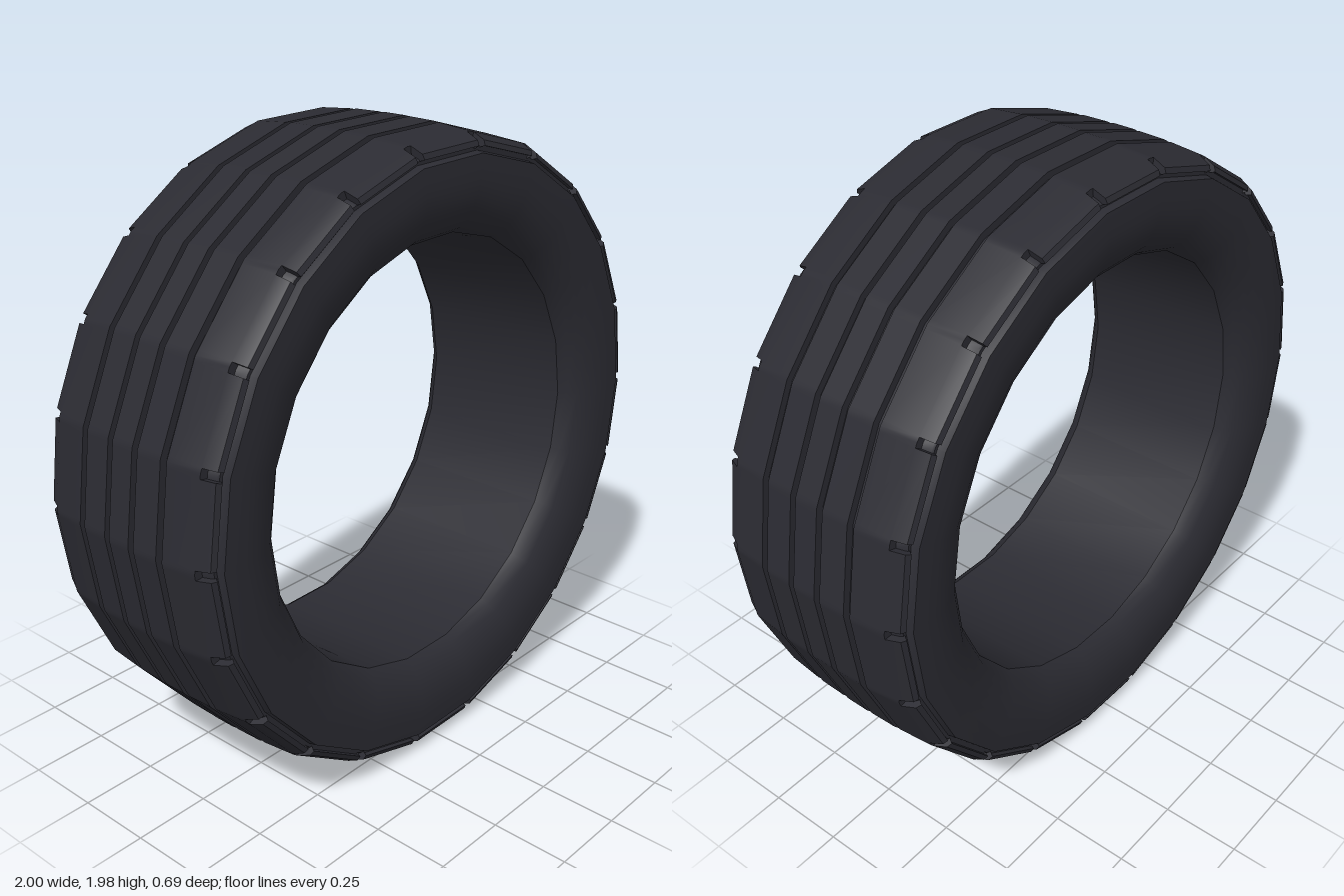
import * as THREE from 'three';
import { toCreasedNormals } from 'three/addons/utils/BufferGeometryUtils.js';

const SIDES = 22;
const STEP = (Math.PI * 2) / SIDES;
const START = THREE.MathUtils.degToRad(7.5);
const NOTCH = 0.015; // half angle of a shoulder notch

// Profiles are [radius, z] points; back half mirrors the front half
const mirror = (pts) => pts.map(([r, z]) => [r, -z]).reverse();

// Sweeps a profile round the many-sided ring, swapping to the cut profile at each corner
function sweep(full, cut = full) {
  const columns = [];
  for (let i = 0; i < SIDES; i++) {
    const a = START + i * STEP;
    const stops = cut === full
      ? [[0, full]]
      : [[-NOTCH, full], [-NOTCH, cut], [0, cut], [NOTCH, cut], [NOTCH, full]];
    for (const [d, profile] of stops) {
      const k = Math.cos(STEP / 2) / Math.cos(STEP / 2 - Math.abs(d)); // stay on the flat side
      columns.push(profile.map(([r, z]) =>
        new THREE.Vector3(r * k * Math.sin(a + d), r * k * Math.cos(a + d), z)));
    }
  }
  const positions = [];
  const triangle = (a, b, c) => {
    const area = b.clone().sub(a).cross(c.clone().sub(a)).length();
    if (area > 1e-8) for (const p of [a, b, c]) positions.push(p.x, p.y, p.z);
  };
  columns.forEach((col, i) => {
    const next = columns[(i + 1) % columns.length];
    for (let j = 0; j < col.length - 1; j++) {
      triangle(col[j], col[j + 1], next[j + 1]);
      triangle(col[j], next[j + 1], next[j]);
    }
  });
  const geometry = new THREE.BufferGeometry();
  geometry.setAttribute('position', new THREE.Float32BufferAttribute(positions, 3));
  return toCreasedNormals(geometry, 0.5);
}

export function createModel() {
  const rubber = new THREE.MeshStandardMaterial({ color: 0x2b2b32 });
  rubber.name = 'dark rubber';
  const tire = new THREE.Group();
  tire.name = 'tire';
  const add = (name, geometry) => {
    const mesh = new THREE.Mesh(geometry, rubber);
    mesh.name = name;
    tire.add(mesh);
  };

  // Tread: ribs and four round grooves, then a shoulder with a side groove
  const ribs = [
    [1, 0.04], [0.977, 0.04], [0.977, 0.06], [0.999, 0.06],
    [0.997, 0.15], [0.974, 0.15], [0.974, 0.172], [0.995, 0.172], [0.985, 0.29],
  ];
  const shoulder = [[0.985, 0.29], [0.967, 0.33], [0.951, 0.337], [0.951, 0.32], [0.935, 0.32]];
  const notched = [[0.96, 0.29], [0.95, 0.315], [0.945, 0.32], [0.94, 0.32], [0.935, 0.32]];
  const full = [...ribs, ...shoulder];
  const cut = [...ribs, ...notched];
  add('tread', sweep([...mirror(full), ...full], [...mirror(cut), ...cut]));

  // Sidewalls bulge out and roll in to the bead
  const wall = [
    [0.935, 0.32], [0.93, 0.344], [0.89, 0.346], [0.85, 0.346], [0.81, 0.342],
    [0.77, 0.331], [0.735, 0.314], [0.708, 0.291], [0.69, 0.265],
  ];
  add('frontSidewall', sweep(wall));
  add('backSidewall', sweep(mirror(wall)));

  // Inner face of the ring
  add('innerLiner', sweep([[0.69, 0.265], [0.69, -0.265]]));

  tire.children.forEach((mesh) => { mesh.position.y = 0.99; });
  return tire;
}
